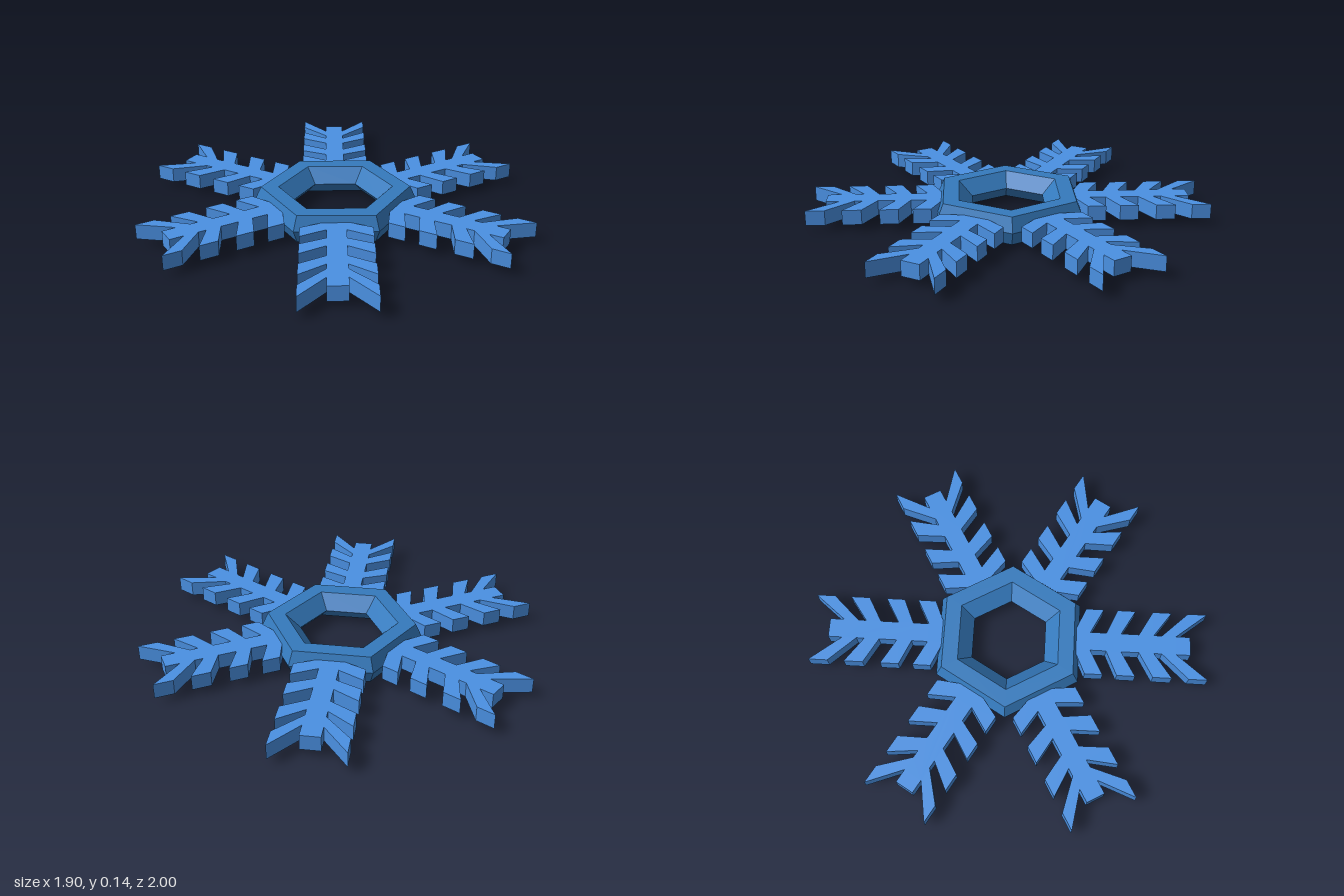
import * as THREE from 'three';

const ARM_COUNT = 6;
const STEM = 0.048;   // half width of an arm's stem
const SPREAD = 0.174; // half width across the branch tips

// Branch pairs along an arm: [inner join, inner tip, outer tip, outer join]
const BRANCHES = [
  [0.33, 0.385, 0.475, 0.41],
  [0.49, 0.545, 0.637, 0.565],
  [0.655, 0.725, 0.82, 0.73],
  [0.77, 0.903, 0.998, 0.842],
];

// Outline of one arm: the right half, then its mirror image
function armShape() {
  const half = [[STEM, 0.26]];
  for (const [joinIn, tipIn, tipOut, joinOut] of BRANCHES) {
    half.push([STEM, joinIn], [SPREAD, tipIn], [SPREAD, tipOut], [STEM, joinOut]);
  }
  half.push([STEM, 0.913]);
  const mirrored = half.map(([x, y]) => [-x, y]).reverse();
  return new THREE.Shape([...half, ...mirrored].map(([x, y]) => new THREE.Vector2(x, y)));
}

export function createModel() {
  const group = new THREE.Group();
  group.name = 'snowflake';
  const armMaterial = new THREE.MeshStandardMaterial({ color: 0x4a90e2, flatShading: true });
  const ringMaterial = new THREE.MeshStandardMaterial({ color: 0x357abd, flatShading: true });

  // Six branched arms lying flat around the centre
  const armGeometry = new THREE.ExtrudeGeometry(armShape(), { depth: 0.076, bevelEnabled: false });
  armGeometry.rotateX(-Math.PI / 2);
  for (let i = 0; i < ARM_COUNT; i++) {
    const arm = new THREE.Mesh(armGeometry, armMaterial);
    arm.name = `arm${i + 1}`;
    arm.position.y = 0.034;
    arm.rotation.y = (i * Math.PI * 2) / ARM_COUNT;
    group.add(arm);
  }

  // Six-sided ring with bevelled inner and outer walls
  const profile = [
    [0.21, 0.07], [0.288, 0], [0.377, 0], [0.41, 0.07],
    [0.377, 0.142], [0.288, 0.142], [0.21, 0.07],
  ].map(([r, y]) => new THREE.Vector2(r, y));
  const ring = new THREE.Mesh(new THREE.LatheGeometry(profile, 6, Math.PI / 2), ringMaterial);
  ring.name = 'centreRing';
  group.add(ring);

  return group;
}
